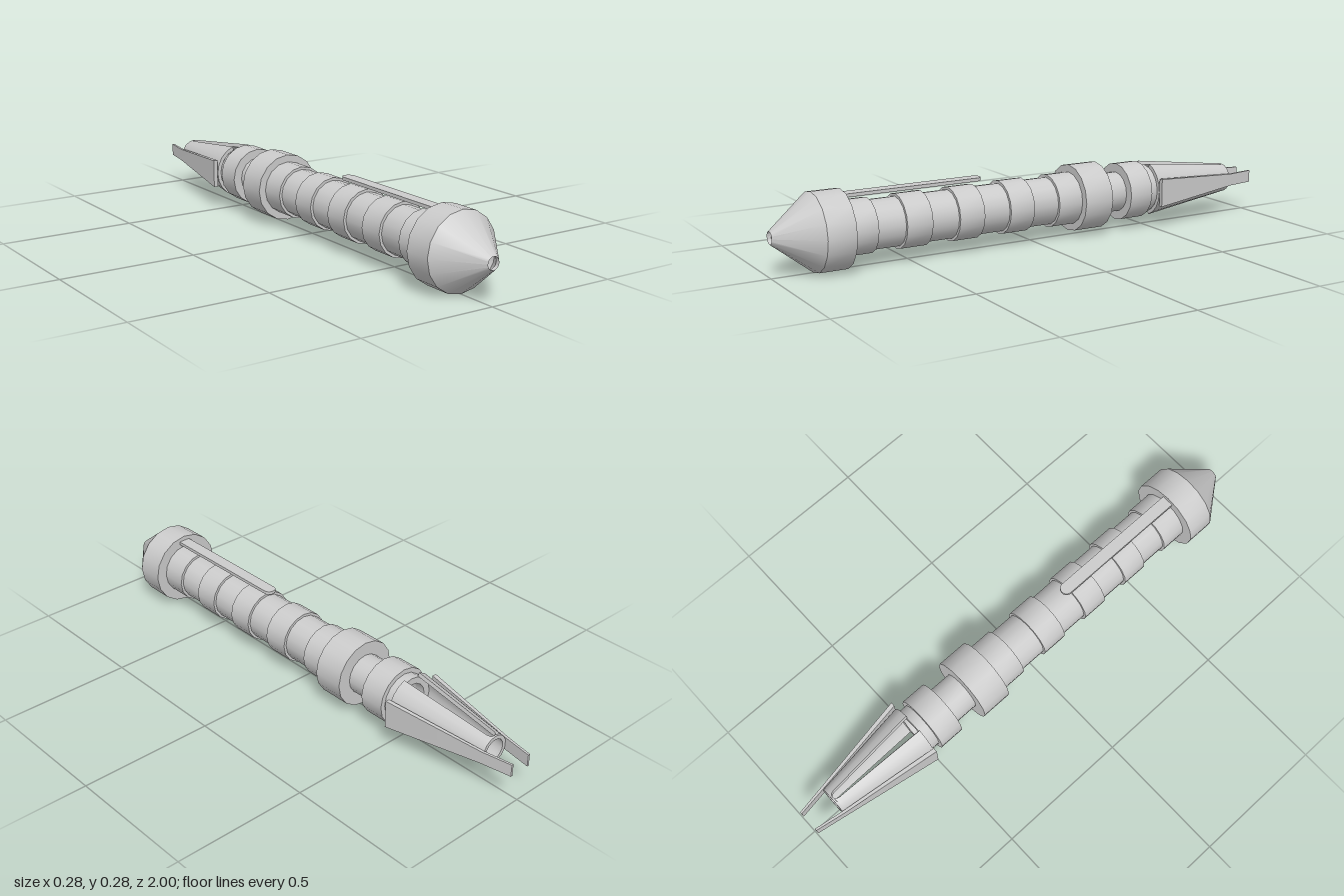
import * as THREE from 'three';
import { toCreasedNormals } from 'three/addons/utils/BufferGeometryUtils.js';

const SIDES = 16;
const material = new THREE.MeshStandardMaterial({ color: 0xcccccc });

function addMesh(parent, name, geometry) {
  const mesh = new THREE.Mesh(toCreasedNormals(geometry, 0.6), material);
  mesh.name = name;
  parent.add(mesh);
  return mesh;
}

// Hollow turned part along z; profile is a closed list of [radius, z].
function turned(parent, name, profile) {
  const points = profile.map(([r, z]) => new THREE.Vector2(r, z));
  points.push(points[0].clone());
  const geometry = new THREE.LatheGeometry(points, SIDES).rotateX(Math.PI / 2);
  return addMesh(parent, name, geometry);
}

function ring(parent, name, z0, z1, radius, bore = 0.065) {
  return turned(parent, name, [[bore, z0], [radius, z0], [radius, z1], [bore, z1]]);
}

// Box lofted through stations along z; map(station, u, v) gives x and y for u, v in -1..1.
function lofted(parent, name, stations, segments, map) {
  const n = stations.length - 1;
  const geometry = new THREE.BoxGeometry(2, 2, n, segments, 1, n);
  const p = geometry.attributes.position;
  for (let i = 0; i < p.count; i++) {
    const station = stations[Math.round(p.getZ(i) + n / 2)];
    const [x, y] = map(station, p.getX(i), p.getY(i));
    p.setXYZ(i, x, y, station.z);
  }
  return addMesh(parent, name, geometry);
}

export function createModel() {
  const model = new THREE.Group();
  model.name = 'handle';
  const axis = new THREE.Group();
  axis.name = 'axis';
  axis.position.y = 0.14;
  model.add(axis);

  // Conical pommel with a small open tip
  turned(axis, 'pommel', [
    [0.065, 0.745], [0.14, 0.745], [0.14, 0.85], [0.023, 1], [0.023, 0.985], [0.065, 0.93],
  ]);

  // Grip with evenly spaced bands
  ring(axis, 'grip', -0.17, 0.75, 0.088);
  for (let i = 0; i < 5; i++) {
    const z = 0.648 - i * 0.204;
    ring(axis, 'gripBand', z, z + 0.098, 0.098, 0.08);
  }

  // Collars and neck
  ring(axis, 'largeCollar', -0.285, -0.168, 0.125);
  ring(axis, 'neck', -0.385, -0.28, 0.075);
  ring(axis, 'smallCollar', -0.475, -0.38, 0.108);
  ring(axis, 'emitterSeat', -0.512, -0.47, 0.09);

  // Rail raised above the grip, rounded at its far end
  const outline = new THREE.Shape();
  outline.moveTo(-0.023, -0.75);
  outline.lineTo(0.023, -0.75);
  outline.lineTo(0.023, -0.23);
  outline.absarc(0, -0.23, 0.023, 0, Math.PI, false);
  outline.closePath();
  const railGeometry = new THREE.ExtrudeGeometry(outline, {
    depth: 0.012, bevelEnabled: false, curveSegments: 8,
  });
  addMesh(axis, 'rail', railGeometry.rotateX(-Math.PI / 2).translate(0, 0.11, 0));

  // Tapered emitter: two half shells leaving a round-ended slot above and below
  const shell = [
    [-0.89, 0], [-0.885, 0], [-0.883, 0.008], [-0.878, 0.013], [-0.868, 0.016], [-0.51, 0.036],
  ].map(([z, slot]) => ({ z, slot, r: 0.055 + (z + 0.89) / 0.38 * 0.05 }));
  // Side prongs lying on the shell and running past its end
  const prong = [
    { z: -1, x: 0.04, half: 0.023, thick: 0.004 },
    { z: -0.89, x: 0.058, half: 0.023, thick: 0.005 },
    { z: -0.51, x: 0.114, half: 0.053, thick: 0.008 },
  ];
  for (const side of ['left', 'right']) {
    const half = new THREE.Group();
    half.name = side + 'EmitterHalf';
    if (side === 'right') half.rotation.z = Math.PI;
    axis.add(half);
    lofted(half, side + 'EmitterShell', shell, SIDES / 2, (s, u, v) => {
      const gap = Math.asin(s.slot / s.r);
      const angle = Math.PI / 2 + u * (Math.PI / 2 - gap);
      const r = v > 0 ? s.r : s.r - 0.014;
      return [Math.sin(angle) * r, Math.cos(angle) * r];
    });
    lofted(half, side + 'Prong', prong, 1, (s, u, v) => [s.x + u * s.thick, v * s.half]);
  }
  return model;
}
